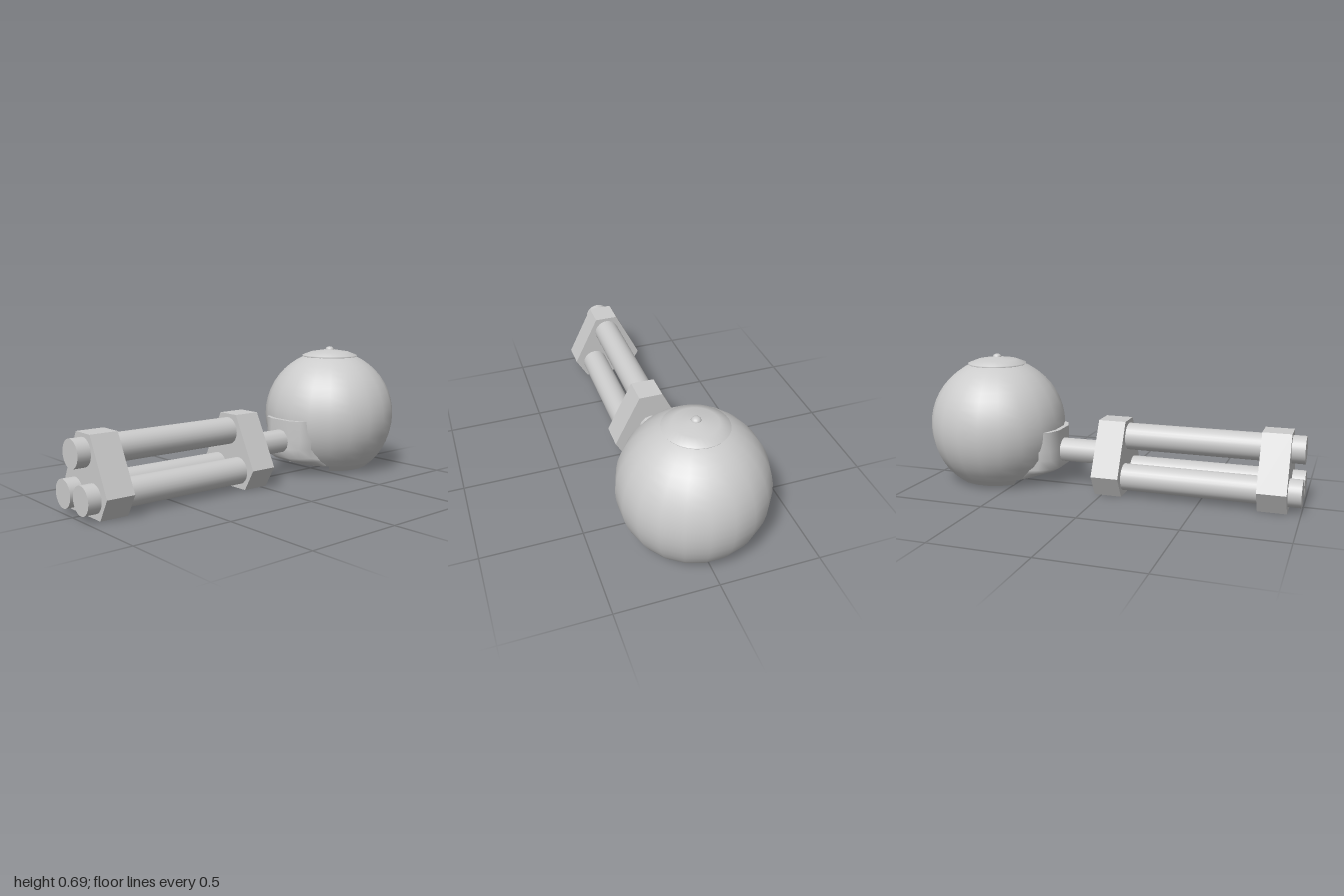
import * as THREE from 'three';

const MAT = new THREE.MeshStandardMaterial({ color: 0xcccccc });
const OPEN = new THREE.MeshStandardMaterial({ color: 0xcccccc, side: THREE.DoubleSide });
const BALL = { y: 0.3, z: -0.64, r: 0.362 };
const DEG = Math.PI / 180;

function add(group, name, geometry, material = MAT) {
  const mesh = new THREE.Mesh(geometry, material);
  mesh.name = name;
  group.add(mesh);
  return mesh;
}

// Rod along z between two depths
function rod(group, name, x, y, r, z0, z1, sides) {
  const g = new THREE.CylinderGeometry(r, r, z1 - z0, sides);
  g.rotateX(Math.PI / 2);
  add(group, name, g).position.set(x, y, (z0 + z1) / 2);
}

// Profile points on the ball between two heights
function ballProfile(y0, y1, steps) {
  const a0 = Math.asin((y0 - BALL.y) / BALL.r);
  const a1 = Math.asin(Math.min(1, (y1 - BALL.y) / BALL.r));
  return Array.from({ length: steps + 1 }, (_, i) => {
    const a = a0 + (a1 - a0) * i / steps;
    return new THREE.Vector2(Math.max(0, BALL.r * Math.cos(a)), BALL.y + BALL.r * Math.sin(a));
  });
}

// Surface through mirrored cross-sections; each row is y plus half of the [x, z] points
function mirroredLoft(rows) {
  const pos = [], index = [];
  for (const { y, pts } of rows) {
    const full = [...pts.map(([x, z]) => [-x, z]).reverse(), ...pts];
    for (const [x, z] of full) pos.push(x, y, z);
  }
  const n = rows[0].pts.length * 2;
  for (let r = 0; r < rows.length - 1; r++) {
    for (let c = 0; c < n - 1; c++) {
      const a = r * n + c, b = a + 1, d = a + n, e = d + 1;
      index.push(a, d, e, a, e, b);
    }
  }
  const g = new THREE.BufferGeometry();
  g.setAttribute('position', new THREE.Float32BufferAttribute(pos, 3));
  g.setIndex(index);
  g.computeVertexNormals();
  return g;
}

export function createModel() {
  const model = new THREE.Group();
  model.name = 'ballTurret';

  // Hollow ball, with a gap in the lowest band at the front
  add(model, 'ballShell', new THREE.LatheGeometry(ballProfile(0.045, 0.662, 18), 20, 9 * DEG), OPEN)
    .position.z = BALL.z;
  add(model, 'ballLowerRim', new THREE.LatheGeometry(ballProfile(0.01, 0.045, 1), 15, 45 * DEG, 270 * DEG), OPEN)
    .position.z = BALL.z;

  // Hatch and its knob
  const hatch = [[0.145, 0.622], [0.155, 0.637], [0.105, 0.656], [0.02, 0.669], [0, 0.67]];
  add(model, 'hatch', new THREE.LatheGeometry(hatch.map(([r, y]) => new THREE.Vector2(r, y)), 32))
    .position.z = BALL.z;
  add(model, 'hatchKnob', new THREE.SphereGeometry(0.024, 16, 8, 0, Math.PI * 2, 0, Math.PI / 2).scale(1, 0.8, 1))
    .position.set(0, 0.666, BALL.z);

  // Gun shield bulging from the front of the ball
  const face = [[0.068, -0.258], [0.13, -0.285], [0.165, -0.335], [0.165, -0.42]];
  add(model, 'gunShield', mirroredLoft([
    { y: 0.305, pts: face },
    { y: 0.2, pts: face },
    { y: 0.15, pts: [[0.068, -0.258], [0.12, -0.285], [0.148, -0.335], [0.165, -0.42]] },
    { y: 0.1, pts: [[0.068, -0.26], [0.115, -0.29], [0.15, -0.35], [0.175, -0.43]] },
    { y: 0.078, pts: [[0.068, -0.3], [0.115, -0.33], [0.155, -0.38], [0.178, -0.45]] },
    { y: 0.047, pts: [[0.068, -0.385], [0.115, -0.405], [0.155, -0.435], [0.18, -0.46]] },
  ]), OPEN);
  const lid = new THREE.Shape([...face.map(([x, z]) => new THREE.Vector2(x, -z)),
    ...face.map(([x, z]) => new THREE.Vector2(-x, -z)).reverse()]);
  const lidMesh = add(model, 'gunShieldTop', new THREE.ShapeGeometry(lid).rotateX(-Math.PI / 2), OPEN);
  lidMesh.position.y = 0.305;

  // Axle from the ball to the rear clamp
  rod(model, 'axle', 0, 0.188, 0.064, -0.4, 0, 12);

  // Three barrels
  for (const [x, y] of [[0, 0.289], [-0.081, 0.093], [0.081, 0.093]]) {
    rod(model, 'barrel', x, y, 0.069, -0.03, 1, 28);
  }

  // Six-sided clamp plates
  const outline = [[-0.133, 0], [0.133, 0], [0.196, 0.108], [0.062, 0.376], [-0.062, 0.376], [-0.196, 0.108]];
  const shape = new THREE.Shape(outline.map(([x, y]) => new THREE.Vector2(x, y)));
  for (const [name, z] of [['rearClamp', -0.037], ['frontClamp', 0.793]]) {
    add(model, name, new THREE.ExtrudeGeometry(shape, { depth: 0.142, bevelEnabled: false })).position.z = z;
  }
  return model;
}
